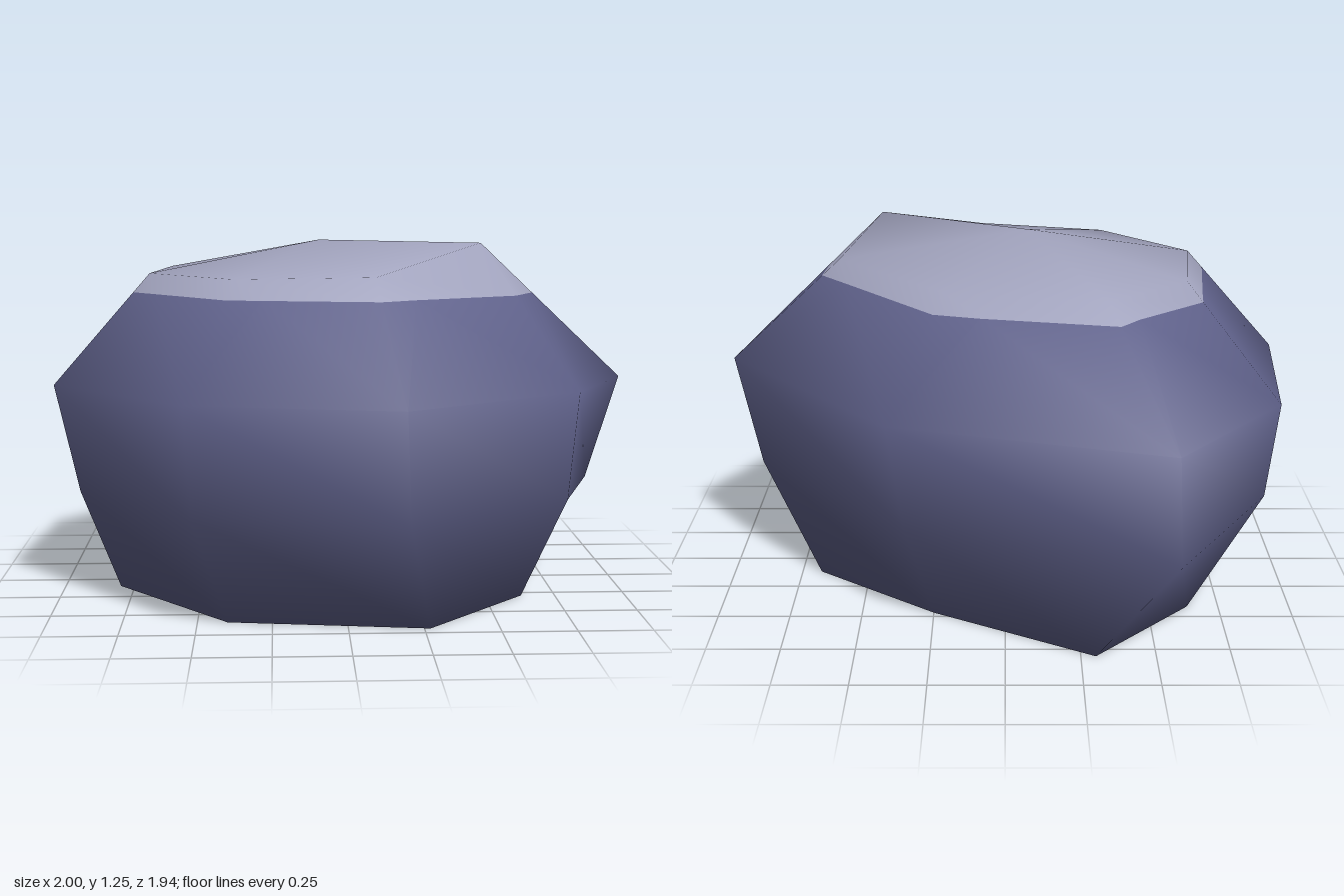
import * as THREE from 'three';

// Outline of the boulder at each level, [x, z], running back, right, front, left
const BASE = [[-0.3, -0.8], [0.25, -0.47], [0.68, -0.12], [0.63, 0.29], [0.27, 0.7], [-0.4, 0.6], [-0.8, 0.1], [-0.64, -0.42]];
const LOWER = [[-0.56, -0.94], [0.34, -0.62], [0.9, 0.03], [0.76, 0.46], [0.19, 0.9], [-0.51, 0.76], [-0.92, 0.25], [-0.91, -0.32]];
const GIRTH = [[-0.54, -0.97], [0.39, -0.68], [1, 0.1], [0.78, 0.54], [0.17, 0.97], [-0.53, 0.82], [-1, 0.28], [-0.93, -0.45]];
const CROWN = [[-0.34, -0.53], [0.21, -0.41], [0.6, 0.09], [0.46, 0.38], [0.09, 0.65], [-0.37, 0.57], [-0.67, 0.21], [-0.62, -0.26]];
const CROWN_Y = [1.14, 1.14, 1.135, 1.25, 1.15, 1.14, 1.14, 1.14];
const CAP_Y = 1.075; // height where the pale top begins

// Closed shell: rings joined by triangles, with a centre point above and below
function shell() {
  const rings = [
    BASE.map(([x, z]) => [x, 0, z]),
    LOWER.map(([x, z]) => [x, 0.38, z]),
    GIRTH.map(([x, z]) => [x, 0.76, z]),
    CROWN.map(([x, z], i) => [x, CROWN_Y[i], z]),
  ];
  const n = BASE.length, index = [];
  const bottom = n * rings.length, top = bottom + 1;
  const points = [...rings.flat(), [0, 0, 0], [-0.08, 1.25, 0.07]];
  for (let i = 0; i < n; i++) {
    const j = (i + 1) % n;
    for (let r = 0; r < rings.length - 1; r++) {
      const a = r * n, b = a + n;
      index.push(a + j, a + i, b + j, a + i, b + i, b + j);
    }
    const last = n * (rings.length - 1);
    index.push(bottom, i, j, top, last + j, last + i);
  }
  const g = new THREE.BufferGeometry();
  g.setAttribute('position', new THREE.Float32BufferAttribute(points.flat(), 3));
  g.setIndex(index);
  g.computeVertexNormals();
  return g;
}

// Keep the part above (side = 1) or below (side = -1) a level, with its smooth normals
function cut(source, level, side) {
  const pos = source.attributes.position, nor = source.attributes.normal, idx = source.index;
  const P = [], N = [];
  for (let t = 0; t < idx.count; t += 3) {
    const tri = [0, 1, 2].map((k) => {
      const i = idx.getX(t + k);
      return { p: new THREE.Vector3().fromBufferAttribute(pos, i), n: new THREE.Vector3().fromBufferAttribute(nor, i) };
    });
    const poly = [];
    tri.forEach((a, k) => {
      const b = tri[(k + 1) % 3];
      const da = (a.p.y - level) * side, db = (b.p.y - level) * side;
      if (da >= 0) poly.push(a);
      if (da * db < 0) {
        const f = da / (da - db);
        poly.push({ p: a.p.clone().lerp(b.p, f), n: a.n.clone().lerp(b.n, f).normalize() });
      }
    });
    for (let k = 1; k < poly.length - 1; k++) {
      for (const v of [poly[0], poly[k], poly[k + 1]]) {
        P.push(...v.p.toArray());
        N.push(...v.n.toArray());
      }
    }
  }
  const g = new THREE.BufferGeometry();
  g.setAttribute('position', new THREE.Float32BufferAttribute(P, 3));
  g.setAttribute('normal', new THREE.Float32BufferAttribute(N, 3));
  return g;
}

export function createModel() {
  const stone = new THREE.MeshStandardMaterial({ color: 0x5f618a });
  stone.name = 'slate blue stone';
  const pale = new THREE.MeshStandardMaterial({ color: 0xa1a3bd });
  pale.name = 'pale grey stone';

  const group = new THREE.Group();
  group.name = 'boulder';
  const whole = shell();

  // Dark body
  const body = new THREE.Mesh(cut(whole, CAP_Y, -1), stone);
  body.name = 'boulderBody';

  // Pale top
  const cap = new THREE.Mesh(cut(whole, CAP_Y, 1), pale);
  cap.name = 'boulderTop';

  group.add(body, cap);
  return group;
}
